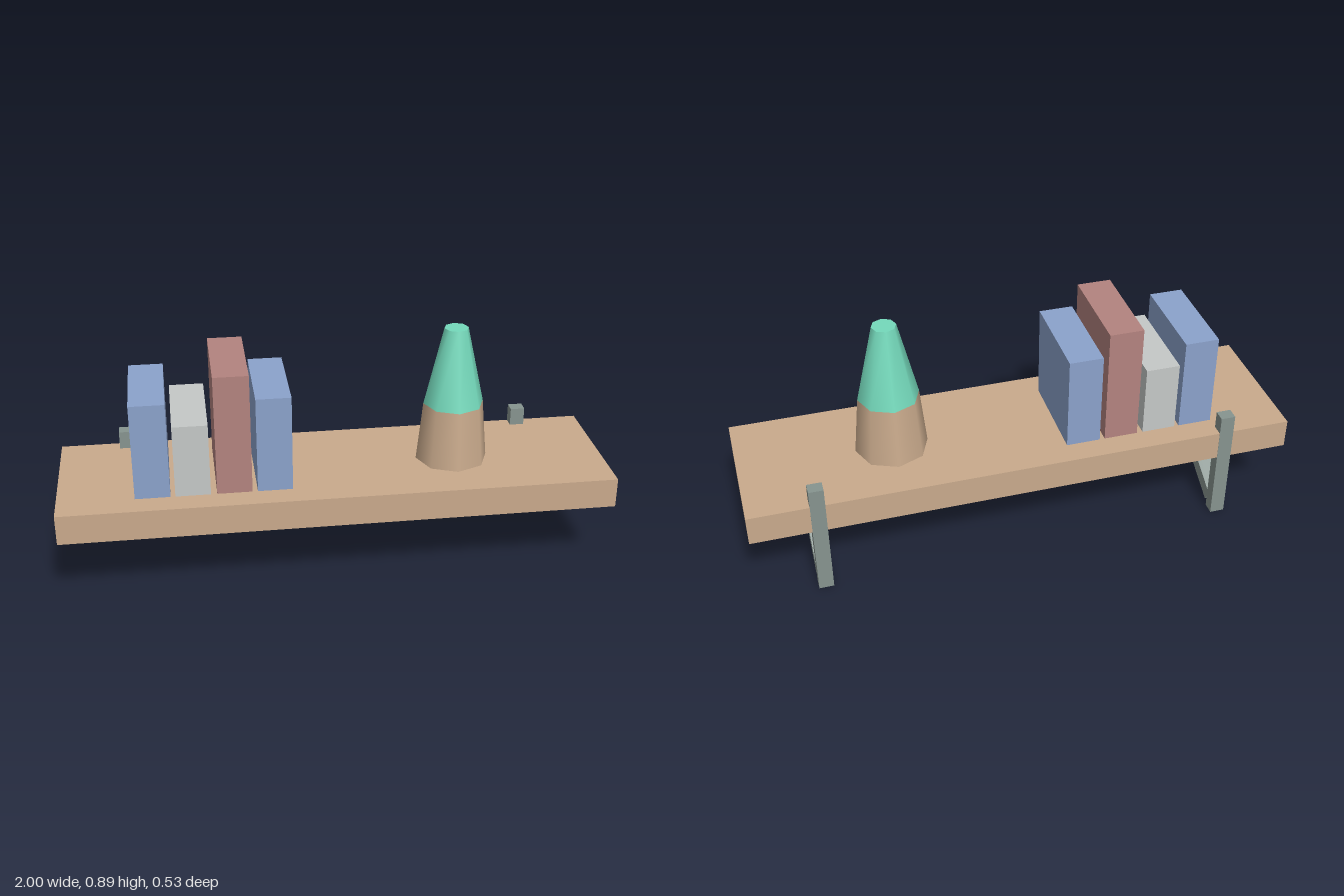
import * as THREE from 'three';

const mat = (name, color) => {
  const m = new THREE.MeshStandardMaterial({ color });
  m.name = name;
  return m;
};

export function createModel() {
  const group = new THREE.Group();
  group.name = 'wallShelf';
  const wood = mat('tan wood', 0xc9aa8c);
  const metal = mat('grey metal', 0x87948f);
  const blue = mat('blue cover', 0x8ba2cb);
  const pale = mat('pale cover', 0xc5c8c7);
  const red = mat('red cover', 0xb3837f);
  const green = mat('green', 0x74d9bb);

  const add = (parent, name, geometry, material, x, y, z) => {
    const mesh = new THREE.Mesh(geometry, material);
    mesh.name = name;
    mesh.position.set(x, y, z);
    parent.add(mesh);
    return mesh;
  };
  const box = (parent, name, material, w, h, d, x, y, z) =>
    add(parent, name, new THREE.BoxGeometry(w, h, d), material, x, y, z);

  // Board
  const bottom = 0.267, top = 0.378;
  box(group, 'board', wood, 2, top - bottom, 0.534, 0, (top + bottom) / 2, 0);

  // Brackets: wall post, arm let into the board's underside, sloping brace
  for (const side of [-1, 1]) {
    const bracket = new THREE.Group();
    bracket.name = side > 0 ? 'leftBracket' : 'rightBracket';
    bracket.position.x = side * 0.755;
    const w = 0.0535;
    box(bracket, 'post', metal, w, 0.445, 0.045, 0, 0.2225, -0.2455);
    box(bracket, 'arm', metal, w, 0.045, 0.40, 0, bottom + 0.0217, -0.03);
    const brace = box(bracket, 'brace', metal, w, w, 0.458, 0, 0.157, -0.023);
    brace.rotation.x = -Math.atan2(0.223, 0.4);
    group.add(bracket);
  }

  // Row of books
  [[-0.664, 0.735, blue], [-0.522, 0.648, pale], [-0.375, 0.825, red], [-0.231, 0.735, blue]]
    .forEach(([x, y, material], i) =>
      box(group, 'book' + (i + 1), material, 0.125, y - top, 0.356, x, (y + top) / 2, 0));

  // Vase: eight-sided base and tapering upper part
  const vase = new THREE.Group();
  vase.name = 'vase';
  vase.position.x = 0.442;
  add(vase, 'vaseBase', new THREE.CylinderGeometry(0.111, 0.133, 0.6 - top, 8), wood, 0, (0.6 + top) / 2, 0);
  add(vase, 'vaseTop', new THREE.CylinderGeometry(0.044, 0.111, 0.29, 8), green, 0, 0.745, 0);
  group.add(vase);

  return group;
}
